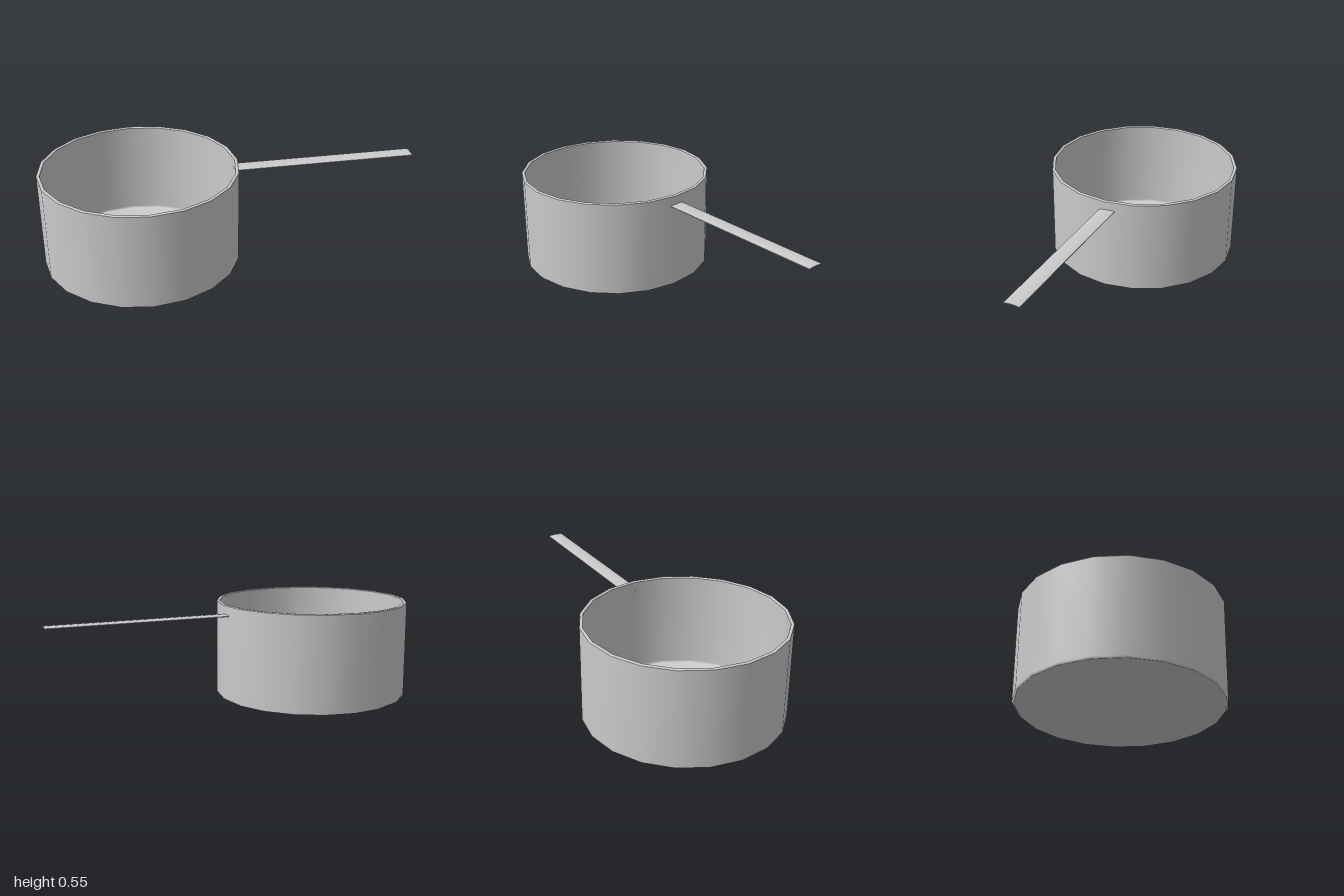
import * as THREE from 'three';
import { toCreasedNormals } from 'three/addons/utils/BufferGeometryUtils.js';

const POT_X = -0.48;
const SIDES = 20;

export function createModel() {
  const model = new THREE.Group();
  model.name = 'saucepan';
  const material = new THREE.MeshStandardMaterial({ color: 0xcccccc });

  const add = (name, geometry, x, y, z) => {
    const mesh = new THREE.Mesh(geometry, material);
    mesh.name = name;
    mesh.position.set(x, y, z);
    model.add(mesh);
  };

  // Each smooth band of the pot is its own lathe, so the edges between stay sharp
  const lathe = (name, profile) => {
    const points = profile.map(([r, y]) => new THREE.Vector2(r, y));
    add(name, new THREE.LatheGeometry(points, SIDES), POT_X, 0, 0);
  };
  lathe('potBase', [[0, 0], [0.375, 0], [0.51, 0.024]]);
  lathe('potOuterWall', [[0.51, 0.024], [0.52, 0.033], [0.52, 0.541]]);
  lathe('potRim', [[0.52, 0.541], [0.517, 0.545], [0.506, 0.545], [0.503, 0.541]]);
  lathe('potInterior', [[0.503, 0.541], [0.503, 0.046], [0.494, 0.037], [0.375, 0.015], [0, 0.015]]);

  // Thin strap handle with a slightly arched cross-section
  const arch = [[-0.027, 0], [-0.012, 0.003], [0.015, 0.0045], [0.042, 0.003], [0.057, 0]];
  const thickness = 0.004;
  const outline = [
    ...arch,
    ...arch.map(([s, h]) => [s, h + thickness]).reverse(),
  ].map(([s, h]) => new THREE.Vector2(s, h));
  const handle = new THREE.ExtrudeGeometry(new THREE.Shape(outline), { depth: 0.98, bevelEnabled: false });
  handle.rotateY(Math.PI / 2);
  add('handle', toCreasedNormals(handle, 0.6), 0.02, 0.487, 0);

  return model;
}
